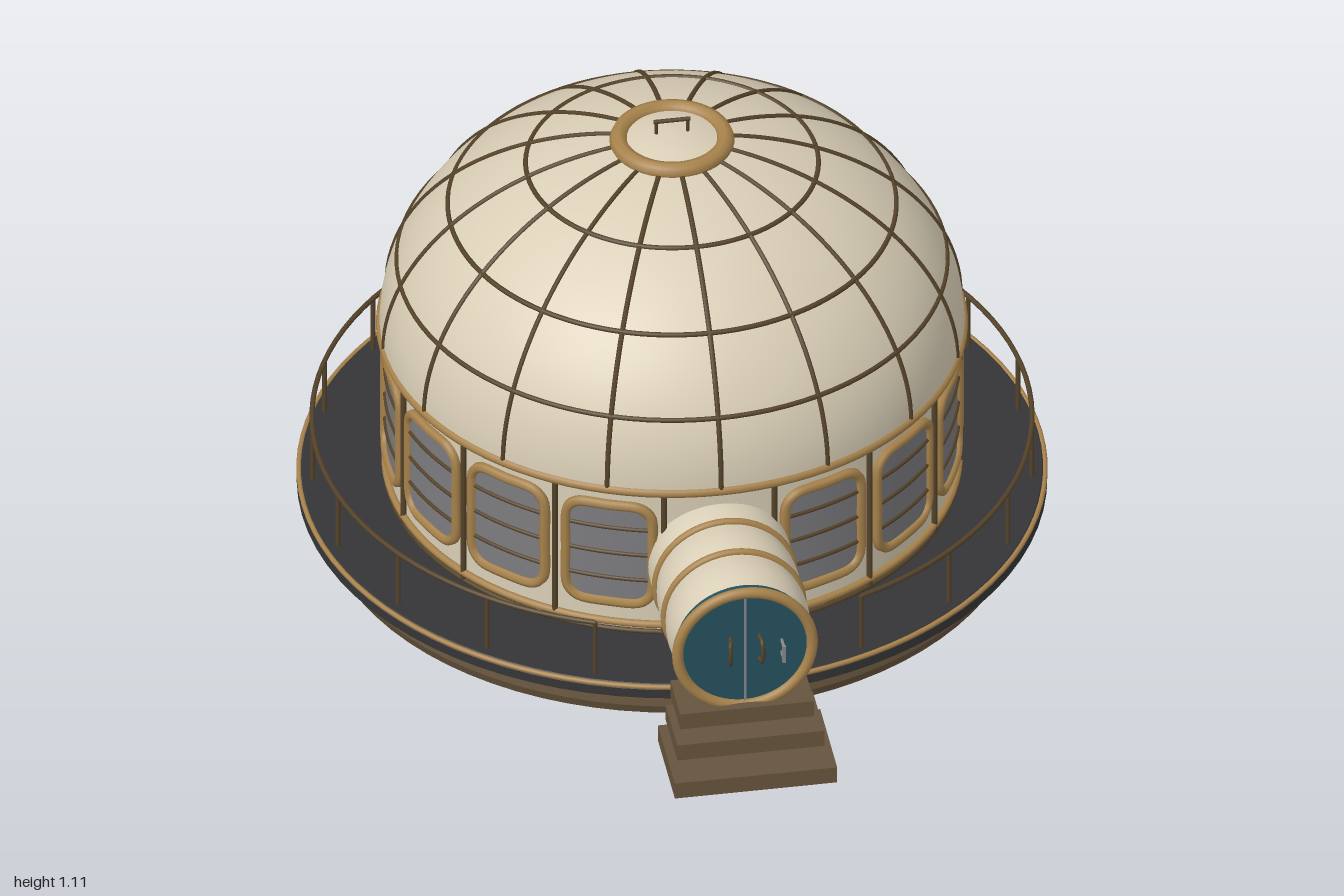
import * as THREE from 'three';

const mat = (name, color, side = THREE.FrontSide) => {
  const m = new THREE.MeshStandardMaterial({ color, side });
  m.name = name;
  return m;
};

export function createModel() {
  const cream = mat('cream shell', 0xd9ceb6);
  const gold = mat('brass', 0xa8834c);
  const bronze = mat('dark bronze', 0x55432a);
  const brown = mat('brown base', 0x66543d);
  const dark = mat('dark deck', 0x353537);
  const glass = mat('grey glass', 0x7c7c80, THREE.DoubleSide);
  const teal = mat('teal door', 0x24505f);
  const steel = mat('steel', 0x85888a);

  const model = new THREE.Group();
  const house = new THREE.Group();
  house.name = 'house';
  house.position.z = -0.14;
  model.add(house);

  const add = (parent, name, geo, material, x = 0, y = 0, z = 0) => {
    const m = new THREE.Mesh(geo, material);
    m.name = name;
    m.position.set(x, y, z);
    parent.add(m);
    return m;
  };
  // Lathe whose inner profile points are doubled when edges must stay sharp
  const lathe = (pts, sharp = false, seg = 80) => new THREE.LatheGeometry(
    pts.flatMap(([r, y], i) => {
      const p = new THREE.Vector2(r, y);
      return sharp && i > 0 && i < pts.length - 1 ? [p, p.clone()] : [p];
    }), seg);
  // Horizontal ring, or an arc of one centred on the front
  const ring = (R, tube, arc = Math.PI * 2, seg = 96) =>
    new THREE.TorusGeometry(R, tube, 8, seg, arc).rotateZ(Math.PI / 2 - arc / 2).rotateX(Math.PI / 2);
  const tube = (pts, r, seg, closed = false) => new THREE.TubeGeometry(
    new THREE.CatmullRomCurve3(pts, closed), seg, r, 6, closed);
  const rod = (r, h) => new THREE.CylinderGeometry(r, r, h, 8);
  const onWall = (a, y, R) => new THREE.Vector3(R * Math.sin(a), y, R * Math.cos(a));

  // Base and deck
  add(house, 'base', lathe([[0, 0], [0.775, 0], [0.798, 0.012], [0.806, 0.035], [0.8, 0.068], [0.775, 0.088]], true), brown);
  add(house, 'deck', lathe([[0, 0.085], [0.84, 0.085], [0.857, 0.095], [0.857, 0.118], [0.845, 0.128], [0, 0.128]], true), dark);
  add(house, 'deckTrim', ring(0.852, 0.006), gold, 0, 0.123);

  // Round wall with bands
  const WALL = 0.65;
  add(house, 'wall', new THREE.CylinderGeometry(WALL, WALL, 0.41, 96, 1, true), cream, 0, 0.33);
  add(house, 'wallFootRing', ring(0.655, 0.009), gold, 0, 0.157);
  add(house, 'wallSill', ring(0.655, 0.006), bronze, 0, 0.137);
  add(house, 'eaveRing', ring(0.664, 0.012), gold, 0, 0.535);

  // Dome, its hoops and its ribs
  const domePoint = (t) => [0.668 * Math.cos(t), 0.535 + 0.52 * Math.sin(t)];
  const domeProfile = [];
  for (let i = 0; i <= 32; i++) domeProfile.push(domePoint(i / 32 * Math.PI / 2));
  domeProfile[32][0] = 0;
  add(house, 'dome', lathe(domeProfile, false, 96), cream);
  for (const deg of [20, 40, 60]) {
    const [r, y] = domePoint(THREE.MathUtils.degToRad(deg));
    add(house, 'domeHoop', ring(r, 0.006), bronze, 0, y);
  }
  for (let i = 0; i < 16; i++) {
    const pts = [];
    for (let k = 0; k <= 12; k++) {
      const [r, y] = domePoint(k / 12 * 1.38);
      pts.push(new THREE.Vector3(0, y, r));
    }
    add(house, 'domeRib', tube(pts, 0.006, 30), bronze).rotation.y = i * Math.PI / 8;
    add(house, 'wallPost', rod(0.007, 0.39), bronze, ...onWall((i + 0.5) * Math.PI / 8, 0.335, 0.656).toArray());
  }

  // Roof cap with lifting handle
  add(house, 'capRing', ring(0.122, 0.021, Math.PI * 2, 48), gold, 0, 1.05);
  add(house, 'cap', lathe([[0.12, 1.05], [0.08, 1.064], [0.04, 1.071], [0, 1.073]], false, 40), cream);
  for (const s of [-1, 1]) add(house, 'capHandlePost', rod(0.004, 0.045), bronze, s * 0.036, 1.083);
  add(house, 'capHandle', rod(0.005, 0.085).rotateZ(Math.PI / 2), bronze, 0, 1.104);

  // Curved windows: rounded panel, frame and slats
  const HW = 0.101, HH = 0.135, CR = 0.045, MID = 0.348;
  const pane = new THREE.PlaneGeometry(2 * HW, 2, 20, 1);
  const pos = pane.attributes.position;
  for (let i = 0; i < pos.count; i++) {
    const x = pos.getX(i);
    const d = Math.max(0, Math.abs(x) - (HW - CR));
    const h = HH - CR + Math.sqrt(Math.max(0, CR * CR - d * d));
    const p = onWall(x / WALL, MID + Math.sign(pos.getY(i)) * h, WALL + 0.004);
    pos.setXYZ(i, p.x, p.y, p.z);
  }
  pane.computeVertexNormals();
  const outline = [];
  [[1, 1], [-1, 1], [-1, -1], [1, -1]].forEach(([sx, sy], c) => {
    for (let k = 0; k <= 4; k++) {
      const a = (c + k / 4) * Math.PI / 2;
      outline.push([sx * (HW - CR) + CR * Math.cos(a), sy * (HH - CR) + CR * Math.sin(a)]);
    }
    // Midpoint keeps the following side straight and hugging the wall
    outline.push([[0, HH], [-HW, 0], [0, -HH], [HW, 0]][c]);
  });
  const frame = tube(outline.map(([x, y]) => onWall(x / WALL, MID + y, WALL + 0.004)), 0.0125, 80, true);
  const slat = ring(WALL + 0.005, 0.005, 2 * HW / WALL, 12);
  for (let i = 1; i < 16; i++) {
    const win = new THREE.Group();
    win.name = 'window';
    win.rotation.y = i * Math.PI / 8;
    house.add(win);
    add(win, 'windowPane', pane, glass);
    add(win, 'windowFrame', frame, gold);
    for (const y of [0.42, 0.35, 0.28]) add(win, 'windowSlat', slat, bronze, 0, y);
  }

  // Railing, open at the front
  const gap = THREE.MathUtils.degToRad(22), span = 2 * Math.PI - 2 * gap;
  add(house, 'handrail', ring(0.822, 0.006, span).rotateY(Math.PI), bronze, 0, 0.27);
  for (let i = 0; i <= 17; i++) {
    add(house, 'railPost', rod(0.0055, 0.145), bronze, ...onWall(gap + i / 17 * span, 0.198, 0.822).toArray());
  }

  // Entrance tunnel, gently swelling between its hoops
  const entrance = new THREE.Group();
  entrance.name = 'entrance';
  entrance.position.y = 0.322;
  model.add(entrance);
  const seams = [0.45, 0.575, 0.695, 0.82];
  const tunnelProfile = [];
  for (let s = 0; s < 3; s++) {
    for (let k = s ? 1 : 0; k <= 6; k++) {
      tunnelProfile.push([0.157 + 0.008 * Math.sin(k / 6 * Math.PI), THREE.MathUtils.lerp(seams[s], seams[s + 1], k / 6)]);
    }
  }
  add(entrance, 'tunnel', lathe(tunnelProfile, false, 56).rotateX(Math.PI / 2), cream);
  for (const z of [0.575, 0.695]) add(entrance, 'tunnelHoop', new THREE.TorusGeometry(0.16, 0.009, 8, 56), gold, 0, 0, z);

  // Round double door
  add(entrance, 'door', new THREE.CylinderGeometry(0.156, 0.156, 0.035, 56).rotateX(Math.PI / 2), teal, 0, 0, 0.831);
  add(entrance, 'doorFrame', new THREE.TorusGeometry(0.156, 0.013, 10, 56), gold, 0, 0, 0.85);
  add(entrance, 'doorSplit', new THREE.BoxGeometry(0.005, 0.29, 0.006), steel, 0, 0, 0.85);
  for (const s of [-1, 1]) {
    const pts = [[0.033, -0.032, 0.845], [0.037, -0.025, 0.872], [0.037, 0.025, 0.872], [0.033, 0.032, 0.845]]
      .map(([x, y, z]) => new THREE.Vector3(s * x, y, z));
    add(entrance, 'doorPull', tube(pts, 0.005, 16), bronze);
  }
  add(entrance, 'doorLatch', new THREE.BoxGeometry(0.008, 0.045, 0.008), steel, 0.085, -0.003, 0.882);
  for (const y of [-0.02, 0.014]) add(entrance, 'latchStem', new THREE.BoxGeometry(0.006, 0.006, 0.036), steel, 0.085, y, 0.864);

  // Steps: half width, centre height, back, front
  for (const [hw, y, z0, z1] of [[0.155, 0.155, 0.745, 0.88], [0.17, 0.105, 0.77, 0.93], [0.188, 0.05, 0.77, 1]]) {
    add(model, 'step', new THREE.BoxGeometry(2 * hw, 0.042, z1 - z0), brown, 0, y, (z0 + z1) / 2);
  }
  return model;
}
